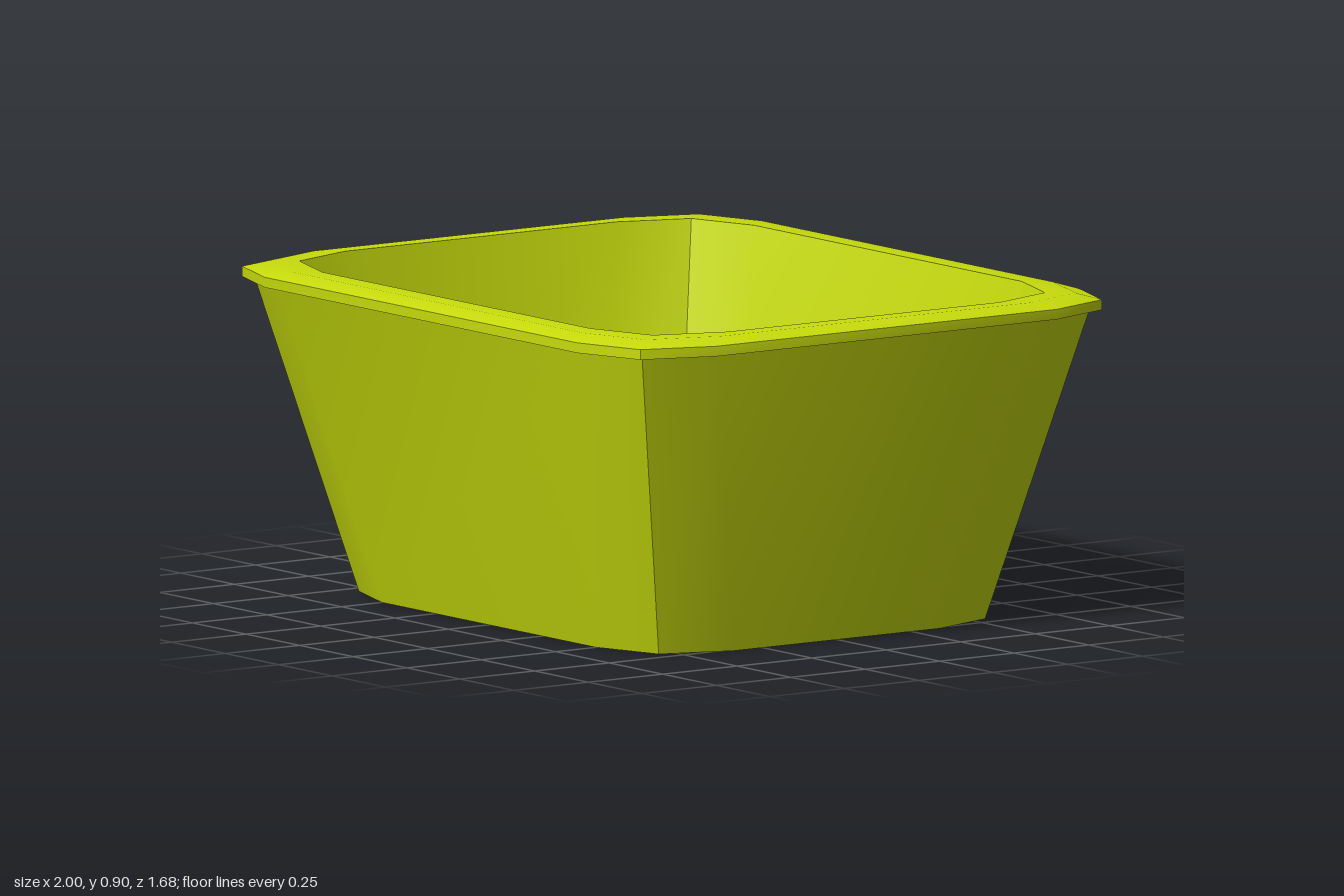
import * as THREE from 'three';
import { toCreasedNormals } from 'three/addons/utils/BufferGeometryUtils.js';

// Twelve-point rounded rectangle with half sizes hx, hz; corners cut by fixed insets
function ring(hx, hz, y) {
  const q = [[hx, hz - 0.27], [hx - 0.07, hz - 0.067], [hx - 0.27, hz]];
  const r = [...q].reverse();
  return [
    ...q,
    ...r.map(([x, z]) => [-x, z]),
    ...q.map(([x, z]) => [-x, -z]),
    ...r.map(([x, z]) => [x, -z]),
  ].map(([x, z]) => [x, y, z]);
}

// Skin a stack of rings, closing the first and last with flat caps
function loft(rings, crease) {
  const n = rings[0].length;
  const last = (rings.length - 1) * n;
  const points = rings.flat();
  const start = points.length, end = start + 1;
  points.push([0, rings[0][0][1], 0], [0, rings[rings.length - 1][0][1], 0]);
  const index = [];
  for (let i = 0; i < n; i++) {
    const j = (i + 1) % n;
    for (let k = 0; k < last; k += n) {
      index.push(k + i, k + n + i, k + j, k + j, k + n + i, k + n + j);
    }
    index.push(start, i, j, end, last + j, last + i);
  }
  const geometry = new THREE.BufferGeometry();
  geometry.setAttribute('position', new THREE.Float32BufferAttribute(points.flat(), 3));
  geometry.setIndex(index);
  return toCreasedNormals(geometry, crease);
}

export function createModel() {
  const group = new THREE.Group();
  group.name = 'basin';

  // Half width, half depth, height: up the outside, over the rim, down to the floor
  const profile = [
    [0.77, 0.615, 0],
    [0.975, 0.818, 0.86],
    [1.0, 0.842, 0.86],
    [1.0, 0.842, 0.888],
    [0.95, 0.79, 0.905],
    [0.895, 0.725, 0.905],
    [0.71, 0.552, 0.12],
  ];
  const tub = new THREE.Mesh(
    loft(profile.map((p) => ring(...p)), THREE.MathUtils.degToRad(35)),
    new THREE.MeshStandardMaterial({ color: 0xc8dc0c })
  );
  tub.name = 'tub';
  group.add(tub);
  return group;
}
